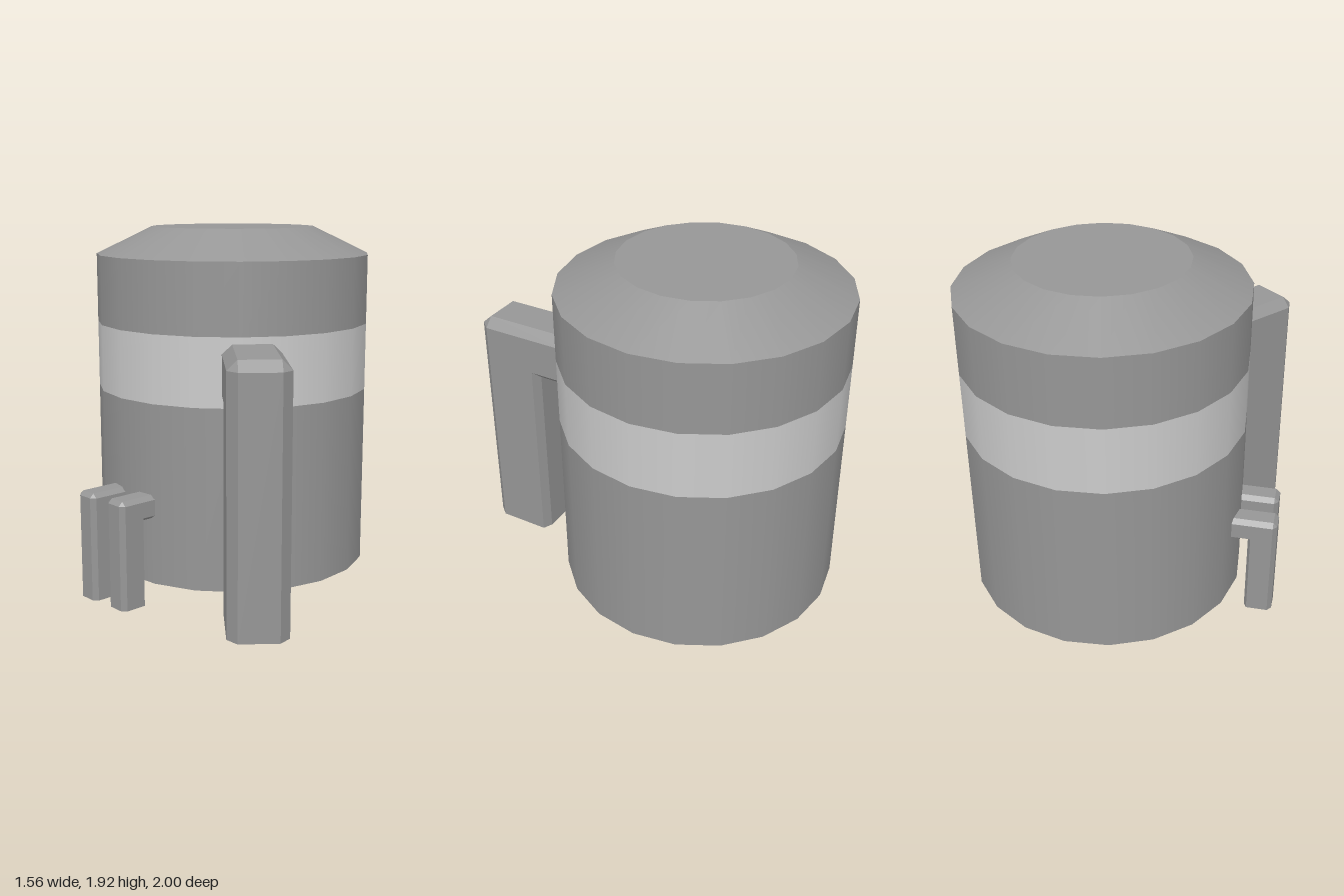
import * as THREE from 'three';

const dark = new THREE.MeshStandardMaterial({ color: 0x969696 });
const light = new THREE.MeshStandardMaterial({ color: 0xcccccc });
const darkFlat = new THREE.MeshStandardMaterial({ color: 0x969696, flatShading: true });

// Bent duct with chamfered edges: a column rising to an arm that runs back along -z.
// w/e: half widths of the chamfered faces and of the sides.
// Each profile gives [z, y] at foot, corner, second corner and arm end.
function bentPipe(name, w, e, { front, frontEdge, backEdge, back, end, foot, top, topEdge, underEdge, under }) {
  const outer = [[front, foot], [front, topEdge], [frontEdge, top], [end, top]];
  const outerEdge = [[frontEdge, foot], [frontEdge, topEdge], [frontEdge, topEdge], [end, topEdge]];
  const innerEdge = [[backEdge, foot], [backEdge, underEdge], [backEdge, underEdge], [end, underEdge]];
  const inner = [[back, foot], [back, under], [back, under], [end, under]];
  const loop = [[w, outer], [e, outerEdge], [e, innerEdge], [w, inner],
    [-w, inner], [-e, innerEdge], [-e, outerEdge], [-w, outer]];
  const point = (i, s) => {
    const [x, profile] = loop[i % 8];
    return new THREE.Vector3(x, profile[s][1], profile[s][0]);
  };
  const positions = [];
  const tri = (a, b, c) => {
    if (new THREE.Triangle(a, b, c).getArea() < 1e-8) return;
    for (const p of [a, b, c]) positions.push(p.x, p.y, p.z);
  };
  for (let s = 0; s < 3; s++) {
    for (let i = 0; i < 8; i++) {
      const a = point(i, s), b = point(i + 1, s), c = point(i + 1, s + 1), d = point(i, s + 1);
      tri(a, b, c);
      tri(a, c, d);
    }
  }
  // End caps
  for (let i = 1; i < 7; i++) {
    tri(point(0, 0), point(i + 1, 0), point(i, 0));
    tri(point(0, 3), point(i, 3), point(i + 1, 3));
  }
  const geometry = new THREE.BufferGeometry();
  geometry.setAttribute('position', new THREE.Float32BufferAttribute(positions, 3));
  geometry.computeVertexNormals();
  const mesh = new THREE.Mesh(geometry, darkFlat);
  mesh.name = name;
  return mesh;
}

export function createModel() {
  const model = new THREE.Group();
  model.name = 'storageTank';

  // Tank, stacked from rings
  const tank = new THREE.Group();
  tank.name = 'tank';
  tank.position.set(0.04, 0, -0.26);
  model.add(tank);
  const R = 0.74, capR = 0.44, sides = 20;
  const ring = (name, rTop, y0, y1, material) => {
    const mesh = new THREE.Mesh(new THREE.CylinderGeometry(rTop, R, y1 - y0, sides, 1, true), material);
    mesh.position.y = (y0 + y1) / 2;
    mesh.name = name;
    tank.add(mesh);
  };
  ring('lowerWall', R, 0.1, 1.055, dark);
  ring('band', R, 1.055, 1.41, light);
  ring('upperWall', R, 1.41, 1.775, dark);
  ring('slopedRoof', capR, 1.775, 1.92, dark);

  // Flat discs closing the tank
  const disc = (name, r, y, tilt) => {
    const mesh = new THREE.Mesh(new THREE.CircleGeometry(r, sides), dark);
    mesh.rotation.x = tilt;
    mesh.position.y = y;
    mesh.name = name;
    tank.add(mesh);
  };
  disc('roofTop', capR, 1.92, -Math.PI / 2);
  disc('floor', R, 0.1, Math.PI / 2);

  // Large front duct
  const mainPipe = bentPipe('mainPipe', 0.1, 0.15, {
    front: 1, frontEdge: 0.945, backEdge: 0.665, back: 0.64, end: 0.42,
    foot: 0.05, top: 1.375, topEdge: 1.325, underEdge: 1.125, under: 1.08,
  });
  mainPipe.position.x = 0.1;
  model.add(mainPipe);

  // Pair of small ducts at the front right
  [[-0.751, 0.27], [-0.595, 0.426]].forEach(([x, z], i) => {
    const pipe = bentPipe('smallPipe' + (i + 1), 0.043, 0.069, {
      front: 0, frontEdge: -0.022, backEdge: -0.135, back: -0.15, end: -0.3,
      foot: 0, top: 0.578, topEdge: 0.556, underEdge: 0.472, under: 0.453,
    });
    pipe.position.set(x, 0, z);
    pipe.rotation.y = -0.867;
    model.add(pipe);
  });
  return model;
}
